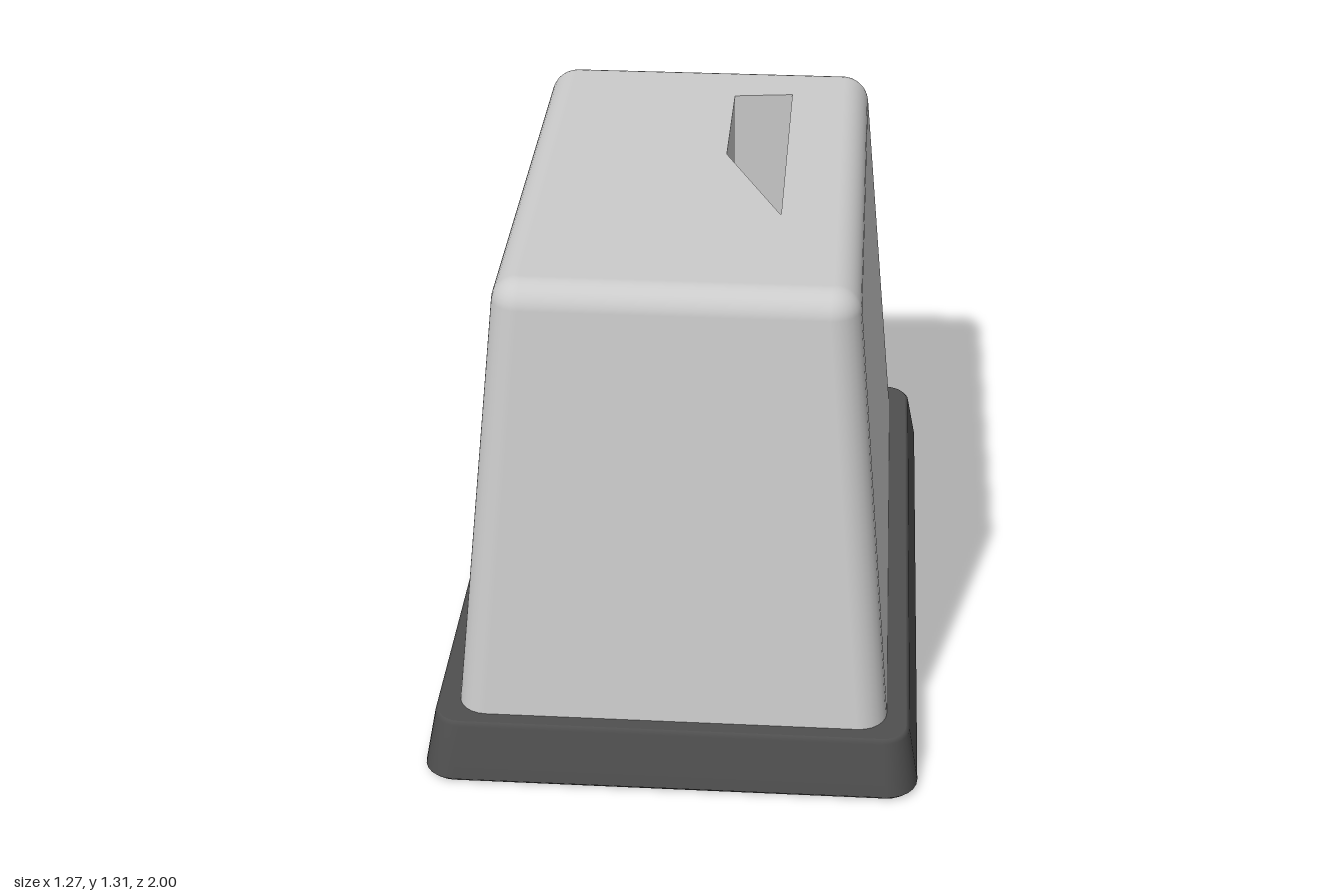
import * as THREE from 'three';
import { mergeGeometries } from 'three/addons/utils/BufferGeometryUtils.js';

const CZ = 0.0425; // z centre of body and base
const N = 6; // segments per rounded corner

// Rounded-rectangle ring: position and outward normal per point
function ring({ y, hx, hz, r, tilt }) {
  const pts = [];
  for (let c = 0; c < 4; c++) {
    const sx = c === 0 || c === 3 ? 1 : -1, sz = c < 2 ? 1 : -1;
    for (let i = 0; i <= N; i++) {
      const a = (c + i / N) * Math.PI / 2, ca = Math.cos(a), sa = Math.sin(a);
      pts.push({
        p: [sx * (hx - r) + r * ca, y, CZ + sz * (hz - r) + r * sa],
        n: [ca * Math.cos(tilt), Math.sin(tilt), sa * Math.cos(tilt)],
      });
    }
  }
  return pts;
}

// Skin between rings; skip(row, segment) leaves an opening
function loft(rows, skip = () => false) {
  const rings = rows.map(ring), count = rings[0].length;
  const pos = [], nor = [], idx = [];
  rings.flat().forEach(({ p, n }) => { pos.push(...p); nor.push(...n); });
  for (let i = 0; i < rings.length - 1; i++) {
    for (let j = 0; j < count; j++) {
      if (skip(i, j)) continue;
      const a = i * count + j, b = i * count + (j + 1) % count;
      idx.push(a, a + count, b, b, a + count, b + count);
    }
  }
  const g = new THREE.BufferGeometry();
  g.setAttribute('position', new THREE.Float32BufferAttribute(pos, 3));
  g.setAttribute('normal', new THREE.Float32BufferAttribute(nor, 3));
  g.setIndex(idx);
  return g.toNonIndexed();
}

// Flat face from 2D corners, with an optional hole
function panel(corners, hole) {
  const v = (list) => list.map(([x, y]) => new THREE.Vector2(x, y));
  const shape = new THREE.Shape(v(corners));
  if (hole) shape.holes.push(new THREE.Path(v(hole)));
  const g = new THREE.ShapeGeometry(shape).toNonIndexed();
  g.deleteAttribute('uv');
  return g;
}

// Horizontal cap over a ring
function cap(row, up, hole) {
  const s = up ? -1 : 1;
  const flip = (list) => list.map(([x, z]) => [x, s * z]);
  const g = panel(flip(ring(row).map(({ p }) => [p[0], p[2]])), hole && flip(hole));
  return g.rotateX(s * Math.PI / 2).translate(0, row.y, 0);
}

// Recess: four walls from the mouth to the floor, plus the floor
function pocket(mouth, floor) {
  const pos = [];
  const quad = (a, b, c, d) => pos.push(...a, ...b, ...c, ...a, ...c, ...d);
  for (let i = 0; i < 4; i++) {
    const j = (i + 1) % 4;
    quad(mouth[i], floor[i], floor[j], mouth[j]);
  }
  quad(floor[0], floor[3], floor[2], floor[1]);
  const g = new THREE.BufferGeometry();
  g.setAttribute('position', new THREE.Float32BufferAttribute(pos, 3));
  g.computeVertexNormals();
  return g;
}

function bodyGeometry() {
  // Tapered walls, then a rounded top edge
  const rows = [{ y: 0.15, hx: 0.554, hz: 0.874, r: 0.075, tilt: 0.11 }];
  const t0 = 0.11, R = 0.07;
  for (let i = 0; i <= 8; i++) {
    const t = t0 + (Math.PI / 2 - t0) * i / 8, inset = R * (Math.cos(t0) - Math.cos(t));
    rows.push({ y: 1.243 + R * Math.sin(t), hx: 0.453 - inset, hz: 0.714 - inset, r: 0.075 - inset, tilt: t });
  }
  const [low, high] = rows, top = rows[rows.length - 1];

  // Top opening: long slot with one slanted end
  const slot = [[0.08, -0.455], [0.24, -0.475], [0.24, 0.305], [0.08, -0.06]];
  const slotFloor = [[0.086, -0.44], [0.234, -0.46], [0.234, 0.29], [0.086, -0.06]];

  // Back opening: tall track for the lever
  const track = [[-0.04, 0.22], [0.04, 0.22], [0.04, 1.17], [-0.04, 1.17]];
  const backZ = (y) => CZ - THREE.MathUtils.mapLinear(y, low.y, high.y, low.hz, high.hz);
  const bx = low.hx - low.r, tx = high.hx - high.r;
  const back = panel([[-bx, low.y], [bx, low.y], [tx, high.y], [-tx, high.y]], track).rotateY(Math.PI);
  const bp = back.attributes.position;
  for (let i = 0; i < bp.count; i++) bp.setZ(i, backZ(bp.getY(i)));
  back.computeVertexNormals();

  return mergeGeometries([
    loft(rows, (i, j) => i === 0 && j === 3 * (N + 1) - 1),
    cap(top, true, slot),
    back,
    pocket(slot.map(([x, z]) => [x, top.y, z]), slotFloor.map(([x, z]) => [x, 0.7, z])),
    pocket(track.map(([x, y]) => [x, y, backZ(y)]), track.map(([x, y]) => [x, y, -0.58])),
  ]);
}

function baseGeometry() {
  const rows = [
    { y: 0, hx: 0.625, hz: 0.946, r: 0.07, tilt: -0.9 },
    { y: 0.012, hx: 0.637, hz: 0.9575, r: 0.08, tilt: 0.15 },
    { y: 0.15, hx: 0.612, hz: 0.918, r: 0.07, tilt: 0.2 },
    { y: 0.16, hx: 0.603, hz: 0.908, r: 0.06, tilt: 1.2 },
  ];
  return mergeGeometries([loft(rows), cap(rows[0], false), cap(rows[3], true)]);
}

// Lever handle, narrowing toward its free end
function handleGeometry() {
  const g = new THREE.BoxGeometry(0.16, 0.08, 0.16).toNonIndexed();
  const p = g.attributes.position;
  for (let i = 0; i < p.count; i++) {
    if (p.getZ(i) < 0) p.setXY(i, p.getX(i) * 0.78, p.getY(i) * 0.78);
  }
  g.computeVertexNormals();
  return g;
}

export function createModel() {
  const model = new THREE.Group();
  const grey = new THREE.MeshStandardMaterial({ color: 0xcccccc, side: THREE.DoubleSide });
  const dark = new THREE.MeshStandardMaterial({ color: 0x505050 });
  const add = (name, geometry, material, y = 0, z = 0) => {
    const mesh = new THREE.Mesh(geometry, material);
    mesh.name = name;
    mesh.position.set(0, y, z);
    model.add(mesh);
  };
  add('body', bodyGeometry(), grey);
  add('base', baseGeometry(), dark);
  add('leverStem', new THREE.BoxGeometry(0.078, 0.035, 0.26), dark, 0.317, -0.715);
  add('leverHandle', handleGeometry(), dark, 0.315, -0.92);
  return model;
}
